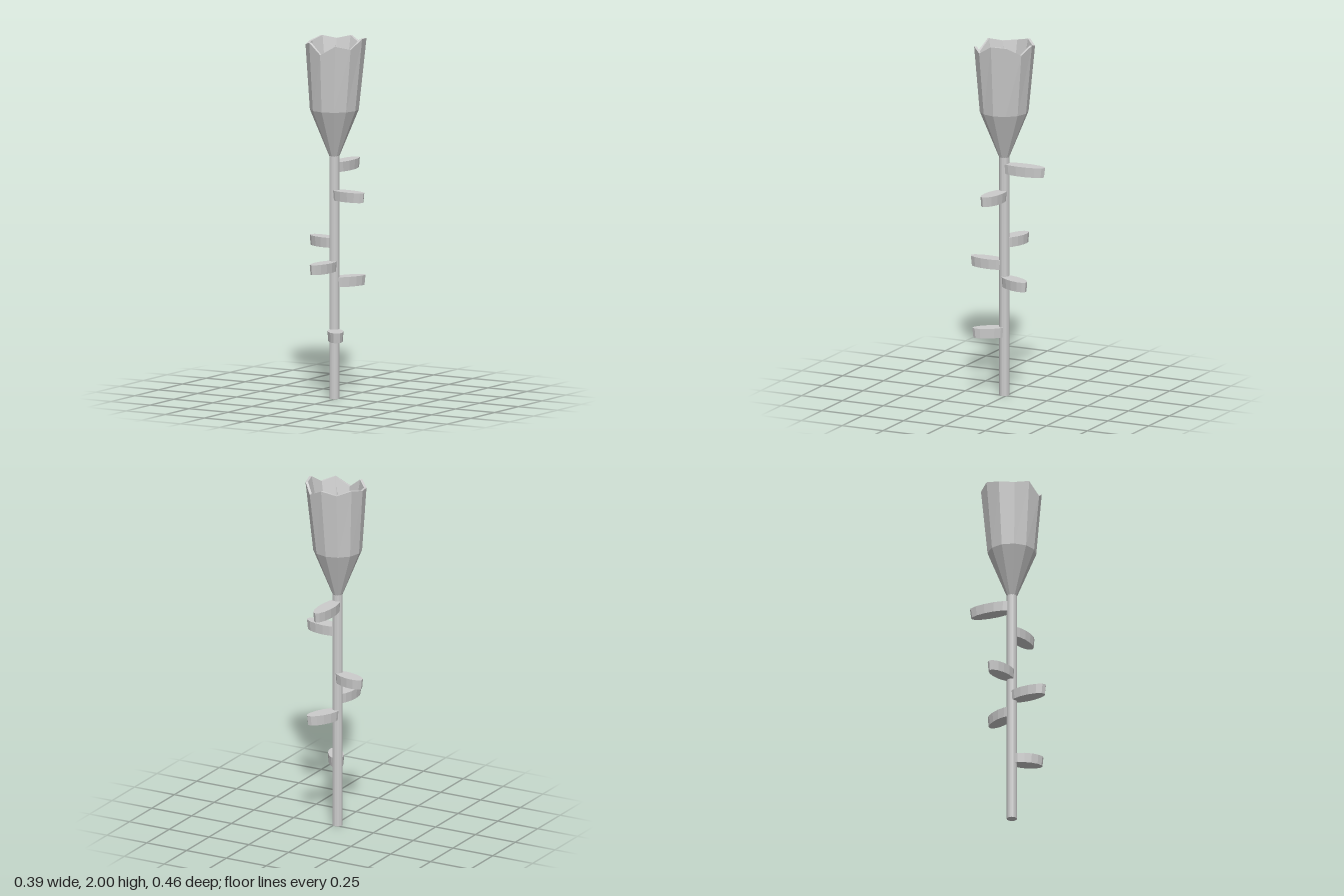
import * as THREE from 'three';

const material = new THREE.MeshStandardMaterial({ color: 0xcccccc, flatShading: true, side: THREE.DoubleSide });
const AXIS = { x: -0.015, z: 0.019 };

function add(parent, name, geometry, x = 0, y = 0, z = 0) {
  const mesh = new THREE.Mesh(geometry, material);
  mesh.name = name;
  mesh.position.set(x, y, z);
  parent.add(mesh);
  return mesh;
}

// Twelve-sided cup with a jagged rim: rings run up the outside, over the rim and down inside
function cupGeometry() {
  const rim = [2.0, 1.95, 1.97, 1.92, 1.98, 1.96, 1.97, 1.99, 1.97, 1.99, 1.95, 1.995];
  const n = rim.length;
  const rings = [
    { r: 0.027, y: 1.34 },
    { r: 0.134, y: 1.6 },
    { r: 0.167, dx: 0.007, dz: -0.006 },
    { r: 0.153, dx: 0.007, dz: -0.006 },
    { r: 0.045, y: 1.42 },
  ];
  const positions = [];
  const index = [];
  rings.forEach(({ r, y, dx = 0, dz = 0 }, i) => {
    for (let j = 0; j < n; j++) {
      const a = (j / n) * Math.PI * 2;
      positions.push(AXIS.x + dx + r * Math.cos(a), y ?? rim[j], AXIS.z + dz + r * Math.sin(a));
      if (i === rings.length - 1) continue;
      const k = (j + 1) % n;
      const a0 = i * n + j, b0 = i * n + k;
      index.push(a0, a0 + n, b0, b0, a0 + n, b0 + n);
    }
  });
  const geometry = new THREE.BufferGeometry();
  geometry.setAttribute('position', new THREE.Float32BufferAttribute(positions, 3));
  geometry.setIndex(index);
  geometry.computeVertexNormals();
  return geometry;
}

// Flat five-pointed heart of the flower
function starGeometry() {
  const shape = new THREE.Shape();
  for (let i = 0; i < 10; i++) {
    const a = -Math.PI / 2 + (i * Math.PI) / 5;
    const r = i % 2 ? 0.042 : 0.063;
    shape[i ? 'lineTo' : 'moveTo'](r * Math.cos(a), r * Math.sin(a));
  }
  shape.closePath();
  return new THREE.ExtrudeGeometry(shape, { depth: 0.05, bevelEnabled: false }).rotateX(-Math.PI / 2);
}

export function createModel() {
  const model = new THREE.Group();
  model.name = 'flower';

  // Stem
  add(model, 'stem', new THREE.CylinderGeometry(0.028, 0.028, 1.36, 16), AXIS.x, 0.68, AXIS.z);

  // Bloom
  add(model, 'petalCup', cupGeometry());
  add(model, 'flowerHeart', starGeometry(), AXIS.x + 0.005, 1.45, AXIS.z);
  add(model, 'pistil', new THREE.ConeGeometry(0.027, 0.48, 16), AXIS.x + 0.005, 1.73, AXIS.z);

  // Leaves: mid height and the position of each tip
  const leaves = [
    { y: 1.28, tip: [-0.015, -0.232] },
    { y: 1.128, tip: [0.192, 0.05] },
    { y: 0.862, tip: [-0.197, -0.035] },
    { y: 0.735, tip: [-0.033, 0.232] },
    { y: 0.645, tip: [0.076, -0.158] },
    { y: 0.358, tip: [0.088, 0.162] },
  ];
  leaves.forEach(({ y, tip }, i) => {
    const dx = tip[0] - AXIS.x, dz = tip[1] - AXIS.z;
    const reach = Math.hypot(dx, dz);
    const back = 0.012;
    const half = (reach + back) / 2;
    // Oval slab, a little smaller underneath
    const geometry = new THREE.CylinderGeometry(1, 0.94, 0.055, 14);
    geometry.rotateY(Math.PI / 2);
    geometry.scale(half, 1, 0.043);
    geometry.translate(half - back, 0, 0);
    const leaf = add(model, `leaf${i + 1}`, geometry, AXIS.x, y, AXIS.z);
    leaf.rotation.y = -Math.atan2(dz, dx);
  });

  return model;
}
